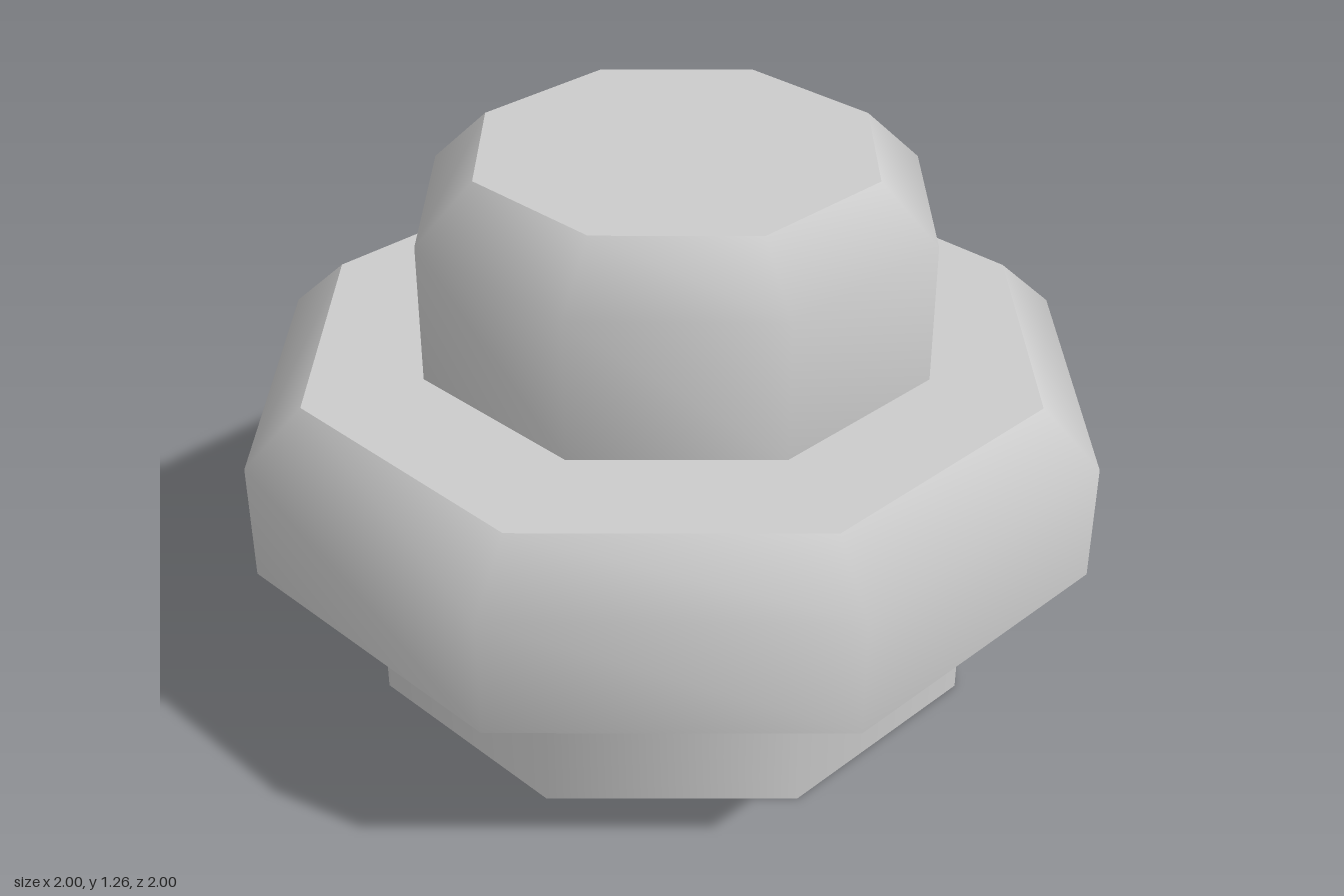
import * as THREE from 'three';
import { mergeGeometries } from 'three/addons/utils/BufferGeometryUtils.js';

const SIDES = 8;

// Flat octagonal cap, facing up or down
function cap(radius, y, up) {
  return new THREE.CircleGeometry(radius, SIDES)
    .rotateX(up ? -Math.PI / 2 : Math.PI / 2)
    .translate(0, y, 0);
}

// Closed octagonal solid: smooth side wall from [radius, y] points, sharp flat caps
function octagonalSolid(name, profile, material) {
  const wall = new THREE.LatheGeometry(profile.map(([r, y]) => new THREE.Vector2(r, y)), SIDES);
  const [bottomR, bottomY] = profile[0];
  const [topR, topY] = profile[profile.length - 1];
  const geometry = mergeGeometries([wall, cap(bottomR, bottomY, false), cap(topR, topY, true)]);
  const mesh = new THREE.Mesh(geometry, material);
  mesh.name = name;
  return mesh;
}

export function createModel() {
  const group = new THREE.Group();
  group.name = 'steppedKnob';
  const material = new THREE.MeshStandardMaterial({ color: 0xcccccc });

  // Straight foot
  const base = octagonalSolid('base', [[0.725, 0], [0.725, 0.403]], material);

  // Wide collar with a bevelled top edge
  const flange = octagonalSolid('flange', [[1, 0.403], [1, 0.68], [0.865, 0.805]], material);

  // Upper knob, slightly off centre, with a bevelled top edge
  const knob = octagonalSolid('knob', [[0.602, 0.805], [0.602, 1.13], [0.467, 1.26]], material);
  knob.position.set(0.017, 0, -0.015);

  group.add(base, flange, knob);
  return group;
}
